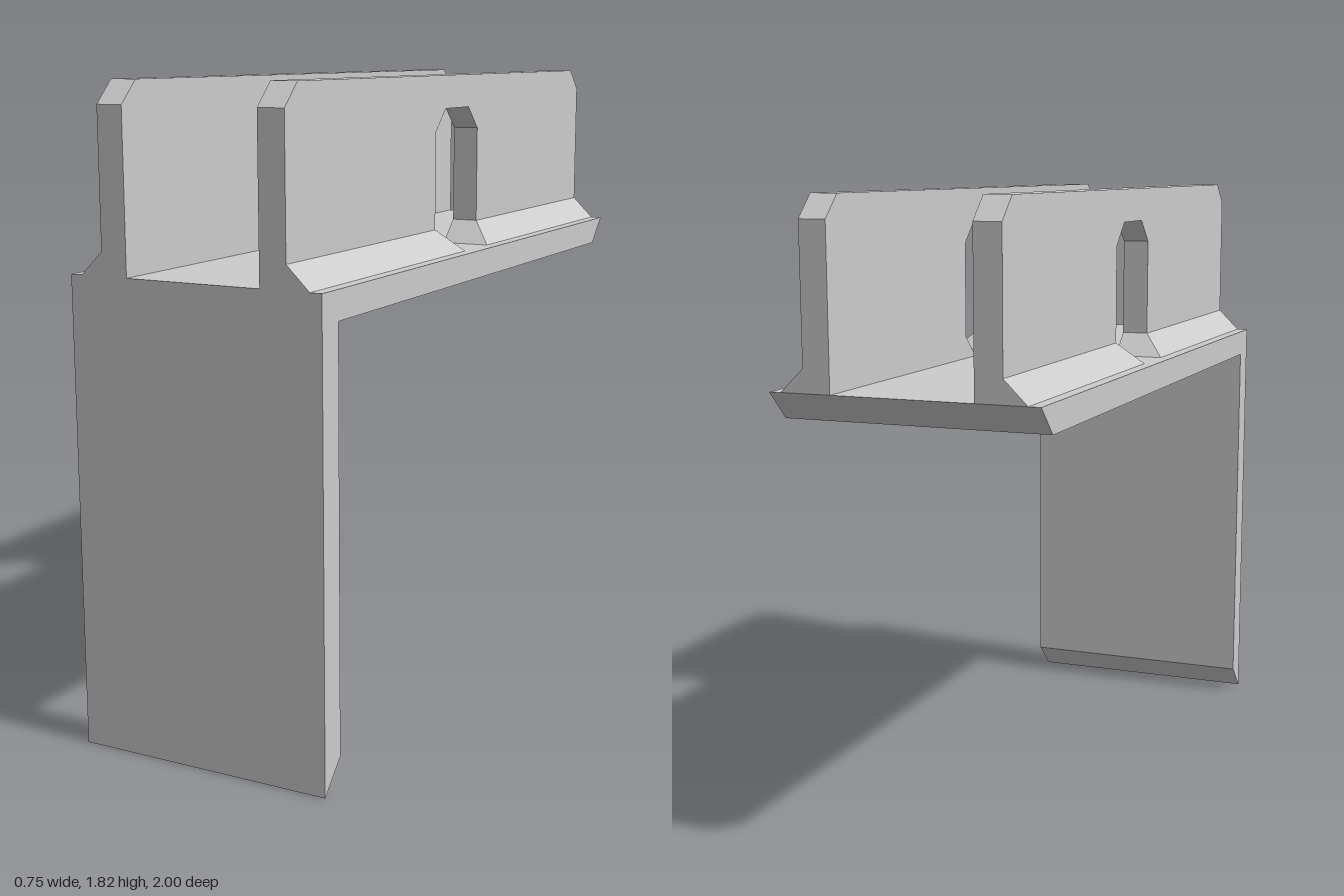
import * as THREE from 'three';
import { ConvexGeometry } from 'three/addons/geometries/ConvexGeometry.js';

const material = new THREE.MeshStandardMaterial({ color: 0xcccccc, flatShading: true });

// Extrudes a [z, y] side profile across x, from x0 to x1.
function sideProfile(points, x0, x1) {
  const shape = new THREE.Shape(points.map(([z, y]) => new THREE.Vector2(-z, y)));
  return new THREE.ExtrudeGeometry(shape, { depth: x1 - x0, bevelEnabled: false })
    .rotateY(Math.PI / 2)
    .translate(x0, 0, 0);
}

export function createModel() {
  const group = new THREE.Group();
  const add = (name, geometry) => {
    const mesh = new THREE.Mesh(geometry, material);
    mesh.name = name;
    group.add(mesh);
  };

  const deck = 1.315, top = 1.82;      // deck surface and rail top
  const inner = 0.2, outer = 0.277;    // rail faces
  const slot = 0.147, slotEnd = 0.08;  // slot half width, and at its chamfered ends
  const filletTop = 1.38, filletEdge = 0.343;

  // L-shaped bracket: deck and front plate with bevelled free ends
  add('bracket', sideProfile([
    [1, 0], [1, deck], [-1, deck], [-0.92, 1.235], [0.917, 1.235], [0.917, 0.083],
  ], -0.377, 0.377));

  // Rail outline, with the octagonal slot reaching down to the deck
  const rail = [
    [1, deck], [1, 1.757], [0.935, top], [-0.935, top], [-1, 1.757], [-1, deck],
    [-slotEnd, deck], [-slot, filletTop], [-slot, 1.66], [-slotEnd, 1.725],
    [slotEnd, 1.725], [slot, 1.66], [slot, filletTop], [slotEnd, deck],
  ];

  for (const [side, sx] of [['left', 1], ['right', -1]]) {
    add(side + 'Rail', sideProfile(rail, sx > 0 ? inner : -outer, sx > 0 ? outer : -inner));

    // Sloped fillets along the rail foot, cut off at an angle by the slot
    for (const [end, sz] of [['Front', 1], ['Back', -1]]) {
      const corners = [
        [outer, deck, 1], [filletEdge, deck, 1], [outer, filletTop, 1],
        [outer, deck, slotEnd], [filletEdge, deck, slotEnd], [outer, filletTop, slot],
      ].map(([x, y, z]) => new THREE.Vector3(x * sx, y, z * sz));
      add(side + end + 'Fillet', new ConvexGeometry(corners));
    }
  }
  return group;
}
